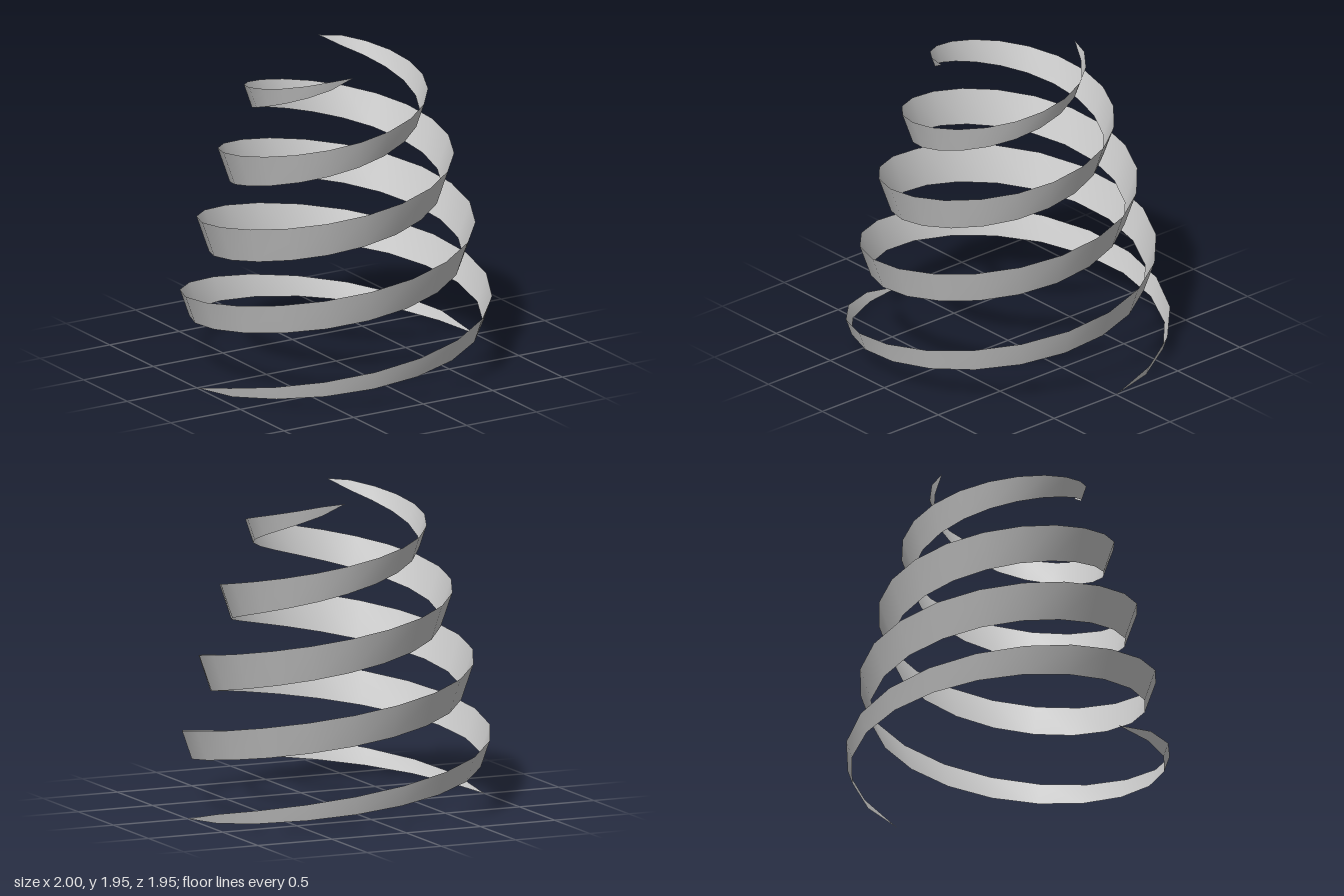
import * as THREE from 'three';

const STEPS = 44;          // 20 steps per turn, 2.2 turns
const HEIGHT = 1.95;
const MAX_WIDTH = 0.225;   // vertical width at the middle of a ribbon
const FLARE = 0.34;        // outward lean of the upper edge

// Tapering helical ribbon, pointed at both ends
function ribbonGeometry() {
  const geo = new THREE.PlaneGeometry(1, 1, STEPS, 1);
  const pos = geo.attributes.position;
  for (let i = 0; i < pos.count; i++) {
    const k = i % (STEPS + 1);
    const side = i <= STEPS ? 0.5 : -0.5; // upper edge, lower edge
    const t = k / STEPS;
    const width = MAX_WIDTH * Math.sqrt(Math.max(0, Math.sin(Math.PI * t)));
    const r = 1 - 0.38 * t - 0.18 * t * t + side * width * FLARE;
    const a = (k * Math.PI) / 10;
    pos.setXYZ(i, -r * Math.cos(a), HEIGHT * t + side * width, r * Math.sin(a));
  }
  // Drop the collapsed triangle at each pointed tip
  geo.setIndex(Array.from(geo.index.array).slice(3, -3));
  geo.computeVertexNormals();
  return geo;
}

export function createModel() {
  const group = new THREE.Group();
  group.name = 'doubleSpiral';
  const grey = new THREE.MeshStandardMaterial({ color: 0xcccccc, side: THREE.DoubleSide });
  grey.name = 'lightGrey';

  // Two identical ribbons, half a turn apart
  const geo = ribbonGeometry();
  ['firstRibbon', 'secondRibbon'].forEach((name, i) => {
    const ribbon = new THREE.Mesh(geo, grey);
    ribbon.name = name;
    ribbon.rotation.y = i * Math.PI;
    group.add(ribbon);
  });
  return group;
}
